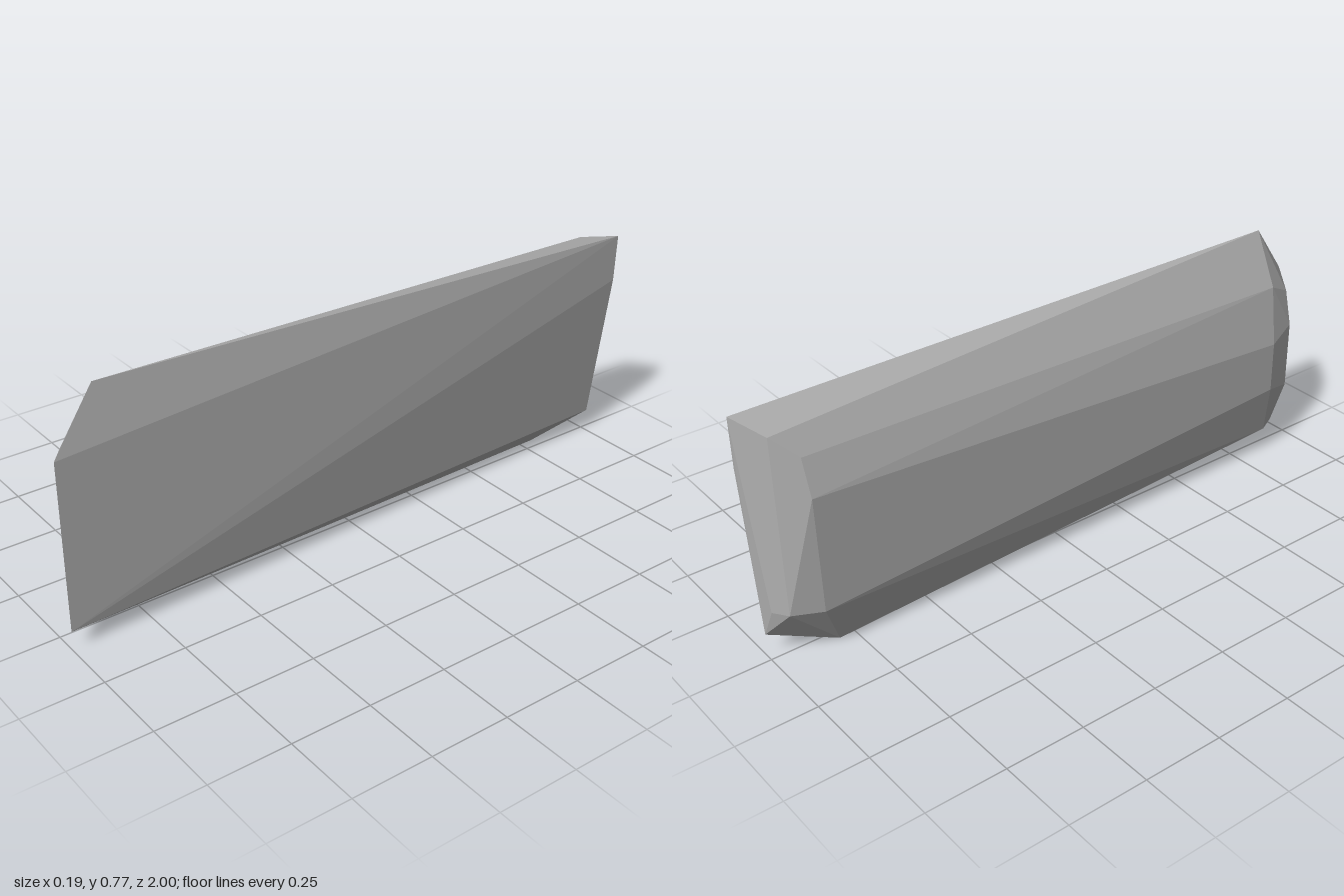
import * as THREE from 'three';
import { ConvexGeometry } from 'three/addons/geometries/ConvexGeometry.js';

export function createModel() {
  const group = new THREE.Group();
  group.name = 'facetedSlab';

  const grey = new THREE.MeshStandardMaterial({ color: 0xaaaaaa });
  grey.name = 'grey';

  // Corners of the broad, nearly flat side
  const flatSide = [
    [0.075, 0.59, 1], [0.078, 0.063, 1], [0.045, 0.767, 0.86],
    [0.097, 0.733, -1], [0.091, 0.58, -1], [0.02, 0.075, -1],
  ];
  // Bevelled front end
  const frontEnd = [
    [-0.057, 0.452, 0.93], [-0.057, 0.23, 0.93],
    [-0.097, 0.43, 0.82], [-0.097, 0.265, 0.82],
    [-0.055, 0.61, 0.84], [-0.025, 0.56, 0.935],
    [-0.055, 0.088, 0.845], [-0.022, 0.088, 0.91],
  ];
  // Bevelled back end, with the lowest corner
  const backEnd = [
    [-0.018, 0.705, -0.95], [-0.058, 0.638, -0.88],
    [-0.097, 0.53, -0.88], [-0.097, 0.162, -0.87],
    [-0.07, 0.175, -0.965], [-0.02, 0.17, -0.993],
    [-0.035, 0.0, -0.8],
  ];

  // Convex hull gives crisp, flat facets
  const corners = [...flatSide, ...frontEnd, ...backEnd]
    .map((p) => new THREE.Vector3(...p));
  const slab = new THREE.Mesh(new ConvexGeometry(corners), grey);
  slab.name = 'slab';
  group.add(slab);
  return group;
}
